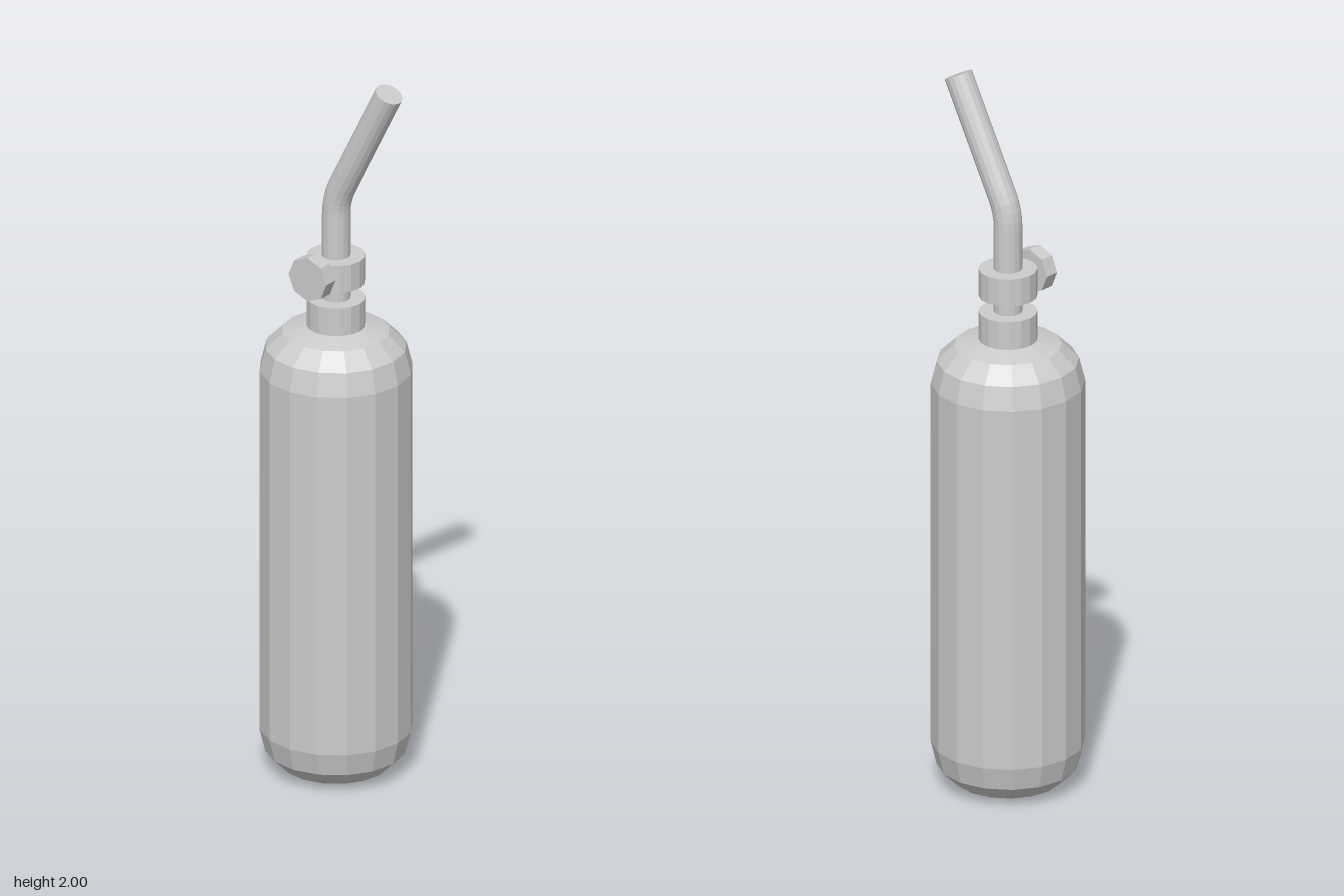
import * as THREE from 'three';

const SIDES = 16;

export function createModel() {
  const group = new THREE.Group();
  const material = new THREE.MeshStandardMaterial({ color: 0xcccccc, flatShading: true });

  const add = (name, geometry, x = 0, y = 0, z = -0.003) => {
    const mesh = new THREE.Mesh(geometry, material);
    mesh.name = name;
    mesh.position.set(x, y, z);
    group.add(mesh);
    return mesh;
  };

  // Tank: faceted bottle with rounded shoulders, same rounding at both ends
  const shoulder = [[0, 0], [0.08, 0], [0.143, 0.016], [0.188, 0.06], [0.204, 0.124]];
  const height = 1.276;
  const profile = [
    ...shoulder.map(([r, y]) => new THREE.Vector2(r, y)),
    ...shoulder.slice().reverse().map(([r, y]) => new THREE.Vector2(r, height - y)),
  ];
  add('tank', new THREE.LatheGeometry(profile, SIDES));

  // Collars around the neck
  const collar = (name, bottom, top) =>
    add(name, new THREE.CylinderGeometry(0.078, 0.078, top - bottom, SIDES), 0, (bottom + top) / 2);
  collar('neckCollar', 1.27, 1.355);
  collar('valveCollar', 1.4, 1.477);

  // Nozzle: a capped cylinder whose rows are moved onto a bent path
  const radius = 0.038, bend = THREE.MathUtils.degToRad(27), bendRadius = 0.1875, bendStart = 1.595;
  const rows = [{ y: 1.3, z: 0, a: 0 }];
  for (let i = 0; i <= 4; i++) {
    const a = (bend * i) / 4;
    rows.push({ y: bendStart + bendRadius * Math.sin(a), z: bendRadius * (1 - Math.cos(a)), a });
  }
  const last = rows[rows.length - 1], reach = 0.34;
  rows.push({ y: last.y + reach * Math.cos(bend), z: last.z + reach * Math.sin(bend), a: bend });

  const segments = rows.length - 1;
  const nozzle = new THREE.CylinderGeometry(radius, radius, 1, SIDES, segments);
  const pos = nozzle.attributes.position;
  for (let i = 0; i < pos.count; i++) {
    const row = rows[Math.round((pos.getY(i) + 0.5) * segments)];
    const z = pos.getZ(i);
    pos.setXYZ(i, pos.getX(i), row.y - z * Math.sin(row.a), row.z + z * Math.cos(row.a));
  }
  nozzle.computeVertexNormals();
  add('nozzle', nozzle);

  // Valve knob: octagonal disc on the right side of the upper collar
  const knob = new THREE.CylinderGeometry(0.062, 0.062, 0.041, 8).rotateZ(Math.PI / 2);
  add('valveKnob', knob, -0.0995, 1.445, -0.008);

  return group;
}
